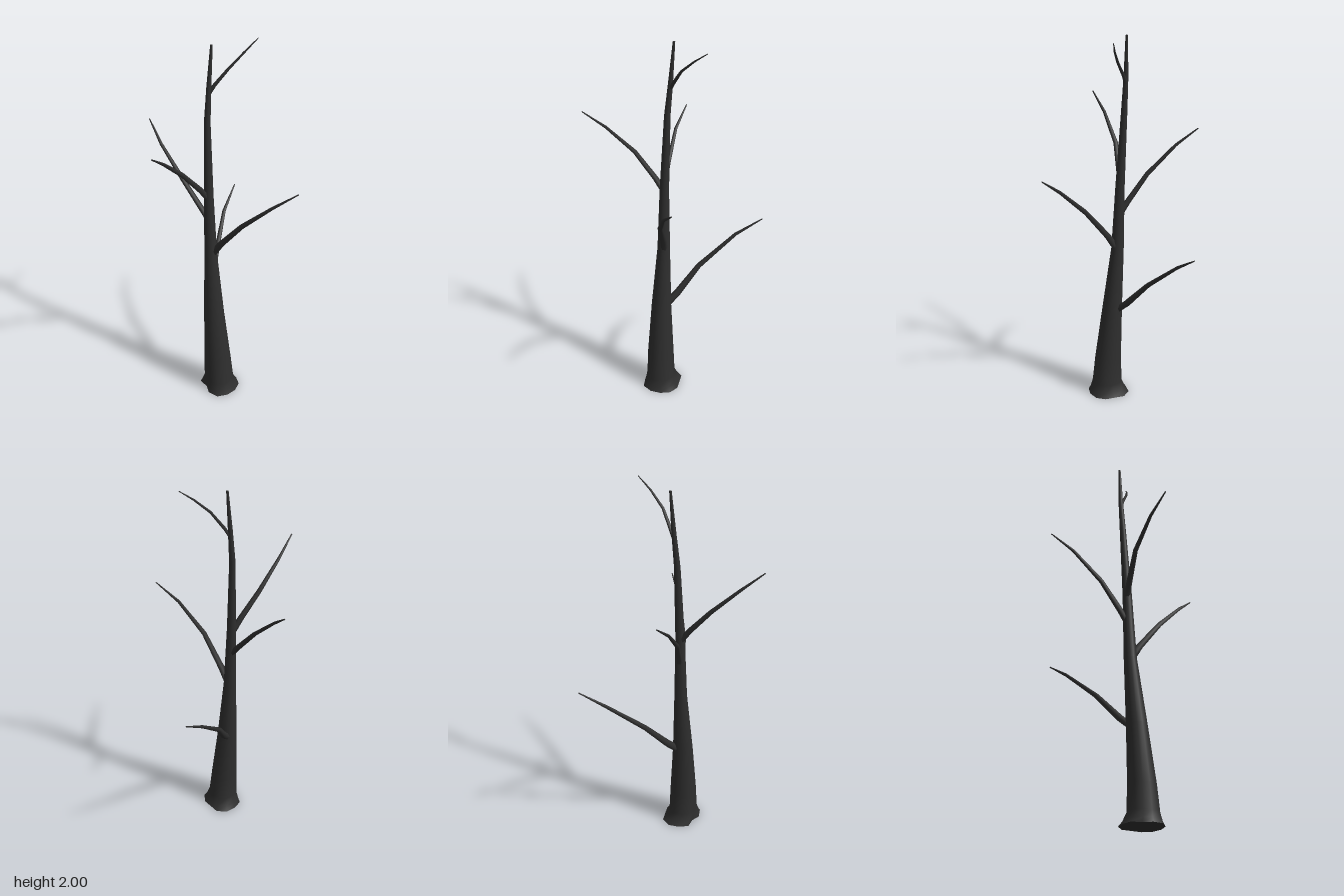
import * as THREE from 'three';

// Skin a tapering limb over rings of [x, y, z, radius]; lobes vary the first ring's radius.
function limbGeometry(rings, sides, flat, lobes) {
  const pts = rings.map(([x, y, z]) => new THREE.Vector3(x, y, z));
  const up = new THREE.Vector3(0, 1, 0);
  const pos = [], idx = [];
  const last = rings.length - 1;
  rings.forEach(([, , , r], i) => {
    const dir = pts[Math.min(i + 1, last)].clone().sub(pts[Math.max(i - 1, 0)]).normalize();
    const q = new THREE.Quaternion().setFromUnitVectors(up, flat ? up : dir);
    for (let j = 0; j < sides; j++) {
      const a = (j / sides) * Math.PI * 2;
      const fade = lobes ? Math.max(0, 1 - i / 3) : 0;
      const k = r * (1 + fade * ((lobes ? lobes[j] : 1) - 1));
      const p = new THREE.Vector3(Math.cos(a) * k, 0, Math.sin(a) * k).applyQuaternion(q).add(pts[i]);
      pos.push(p.x, p.y, p.z);
    }
  });
  for (let i = 0; i < last; i++) {
    for (let j = 0; j < sides; j++) {
      const a = i * sides + j, b = i * sides + (j + 1) % sides;
      idx.push(a, a + sides, b, b, a + sides, b + sides);
    }
  }
  // End caps with their own vertices so the rims stay sharp
  for (const ring of [0, last]) {
    const start = pos.length / 3;
    for (let j = 0; j < sides; j++) {
      const o = (ring * sides + j) * 3;
      pos.push(pos[o], pos[o + 1], pos[o + 2]);
    }
    for (let j = 1; j < sides - 1; j++) {
      if (ring === 0) idx.push(start, start + j, start + j + 1);
      else idx.push(start, start + j + 1, start + j);
    }
  }
  const g = new THREE.BufferGeometry();
  g.setAttribute('position', new THREE.Float32BufferAttribute(pos, 3));
  g.setIndex(idx);
  g.computeVertexNormals();
  return g;
}

export function createModel() {
  const tree = new THREE.Group();
  tree.name = 'bareTree';
  const bark = new THREE.MeshStandardMaterial({ color: 0x2e2e2e });
  bark.name = 'darkBark';

  const add = (name, geometry) => {
    const mesh = new THREE.Mesh(geometry, bark);
    mesh.name = name;
    tree.add(mesh);
  };

  // Leaning trunk with an uneven root flare
  const lobes = [1.03, 1.02, 1.06, 1.12, 0.98, 0.76, 1.02, 1.02, 1.1, 1.07, 0.88, 0.97];
  add('trunk', limbGeometry([
    [-0.005, 0, 0.13, 0.103], [-0.007, 0.025, 0.135, 0.09], [-0.008, 0.065, 0.139, 0.078],
    [-0.015, 0.2, 0.137, 0.071], [-0.035, 0.5, 0.122, 0.053], [-0.053, 0.85, 0.098, 0.033],
    [-0.062, 1.2, 0.087, 0.024], [-0.069, 1.6, 0.065, 0.016], [-0.062, 1.78, 0.049, 0.012],
    [-0.05, 1.99, 0.035, 0.006],
  ], 12, true, lobes));

  // Bent branches, each rooted inside the trunk
  const branches = {
    backBranch: [[-0.04, 0.49, 0.1, 0.02], [-0.042, 0.55, 0.03, 0.019], [-0.05, 0.69, -0.1, 0.014],
      [-0.025, 0.855, -0.3, 0.009], [0.02, 0.945, -0.432, 0.003]],
    leftBranch: [[-0.05, 0.84, 0.095, 0.019], [0.0, 0.93, 0.12, 0.018], [0.11, 1.085, 0.178, 0.014],
      [0.26, 1.23, 0.219, 0.009], [0.385, 1.322, 0.226, 0.003]],
    rightBackBranch: [[-0.055, 1.04, 0.088, 0.016], [-0.1, 1.105, 0.067, 0.015], [-0.2, 1.24, 0.015, 0.012],
      [-0.32, 1.385, -0.08, 0.008], [-0.39, 1.475, -0.17, 0.003]],
    rightFrontBranch: [[-0.06, 1.17, 0.08, 0.017], [-0.1, 1.25, 0.12, 0.015], [-0.175, 1.38, 0.2, 0.012],
      [-0.242, 1.51, 0.325, 0.008], [-0.28, 1.598, 0.432, 0.003]],
    topBranch: [[-0.06, 1.75, 0.05, 0.01], [-0.035, 1.79, 0.043, 0.009], [0.03, 1.872, 0.03, 0.007],
      [0.1, 1.943, -0.005, 0.005], [0.16, 1.998, -0.045, 0.002]],
  };
  for (const [name, rings] of Object.entries(branches)) add(name, limbGeometry(rings, 6, false));

  return tree;
}
